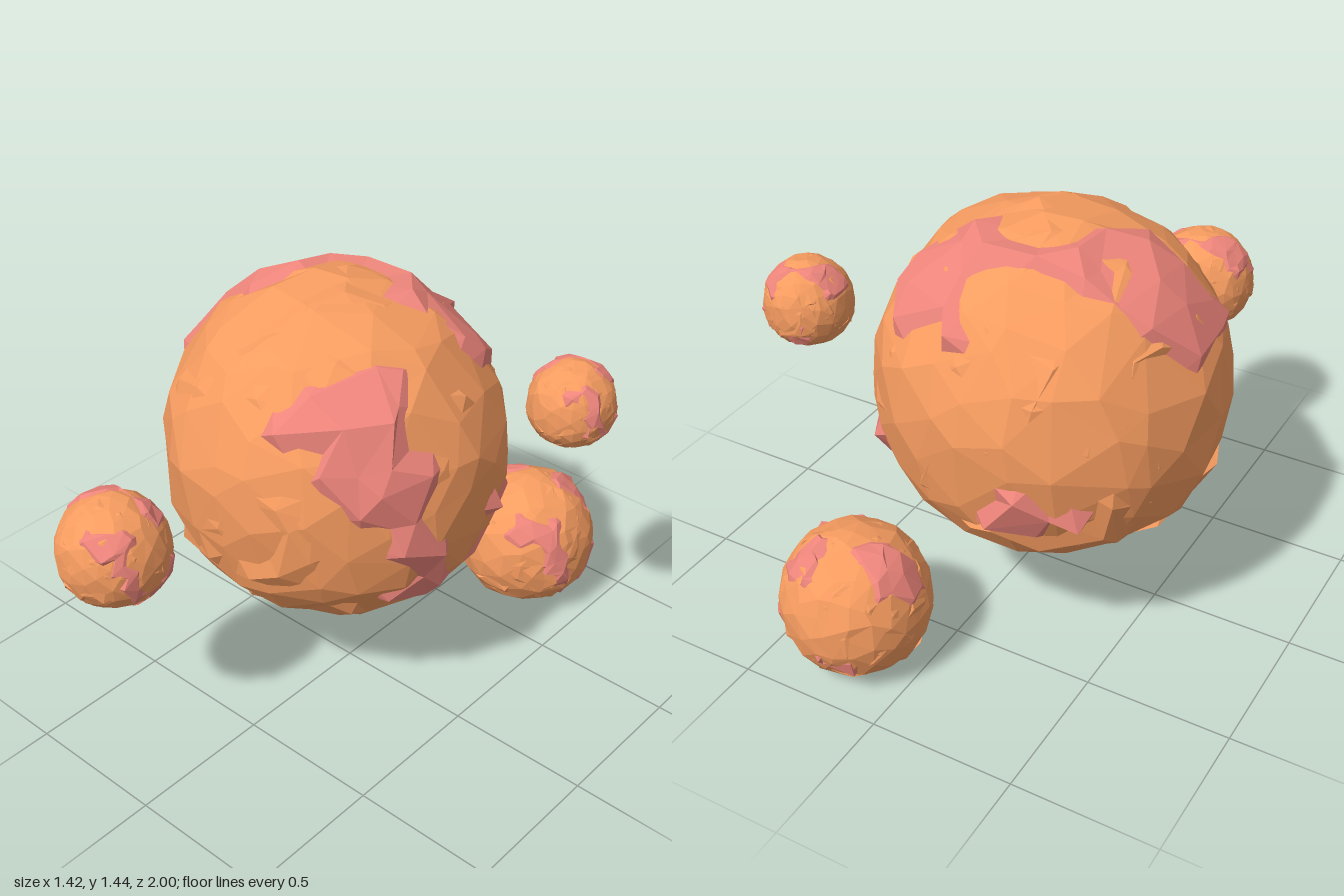
import * as THREE from 'three';

const ORANGE = new THREE.MeshStandardMaterial({ color: 0xf79c60, flatShading: true });
const PINK = new THREE.MeshStandardMaterial({ color: 0xee857b, flatShading: true });

// Pink outcrops: direction from the centre and angular reach
const PATCHES = [
  [-0.33, 0.45, -0.03, 0.36], [-0.5, 0.3, 0.03, 0.34], [-0.2, 0.5, -0.15, 0.28],
  [-0.42, 0.36, -0.12, 0.3], [0.17, 0.46, -0.24, 0.28], [0.29, 0.4, -0.28, 0.32],
  [0.18, 0.34, -0.42, 0.26], [0.24, 0.32, 0.38, 0.3], [0.4, 0.3, 0.22, 0.32],
  [0.46, 0.1, 0.27, 0.28], [0.49, -0.12, 0.2, 0.26], [0.48, -0.28, 0.12, 0.26],
  [0.45, -0.2, -0.28, 0.3], [0.39, -0.36, -0.16, 0.32], [0.28, -0.48, -0.1, 0.3],
  [0.12, -0.54, 0.1, 0.28], [-0.12, -0.53, 0.16, 0.27], [-0.18, -0.25, -0.48, 0.28],
].map(([x, y, z, reach]) => ({ dir: new THREE.Vector3(x, y, z).normalize(), reach }));

// Repeatable value in -1..1 for a direction, so shared corners move together
function hash(v, seed) {
  const q = (n) => Math.round(n * 1000) / 1000;
  const s = Math.sin(q(v.x) * 127.1 + q(v.y) * 311.7 + q(v.z) * 74.7 + seed * 53.3) * 43758.5;
  return (s - Math.floor(s)) * 2 - 1;
}

// Faceted ball whose vertices are shifted sideways and set to radius(direction)
function shell(detail, seed, slide, radius) {
  const geometry = new THREE.IcosahedronGeometry(1, detail);
  const p = geometry.attributes.position;
  const v = new THREE.Vector3();
  const d = new THREE.Vector3();
  for (let i = 0; i < p.count; i++) {
    v.fromBufferAttribute(p, i).normalize();
    d.set(hash(v, seed), hash(v, seed + 1), hash(v, seed + 2)).multiplyScalar(slide);
    const jitter = hash(v, seed + 3);
    d.add(v).normalize();
    d.multiplyScalar(radius(d, jitter));
    p.setXYZ(i, d.x, d.y, d.z);
  }
  geometry.computeVertexNormals();
  return geometry;
}

// Swelling below the middle, fading out at the equator and the lowest point
const swell = (d) => 0.055 * Math.max(0, -2 * d.y * Math.sqrt(1 - d.y * d.y));

// Orange stone, calm all round
const stoneRadius = (d, j) => 0.985 + swell(d) + j * 0.015;

// Second orange layer that breaks through the stone, mostly on the lower half
const crustRadius = (d, j) => 0.965 + swell(d) + j * (d.y < -0.15 ? 0.05 : 0.025);

// Pink shell: above the stone inside a patch, hidden below it elsewhere
function outcropRadius(d, j) {
  const inside = PATCHES.some(({ dir, reach }) => d.angleTo(dir) < reach);
  return inside ? 1.01 + swell(d) + j * 0.03 : 0.91;
}

// One rock: stone, broken crust and pink outcrops
function makeRock(name, center, radius, seed) {
  const rock = new THREE.Group();
  rock.name = name;
  const layers = [
    ['stone', shell(3, seed, 0.1, stoneRadius), ORANGE],
    ['crust', shell(4, seed + 11, 0.12, crustRadius), ORANGE],
    ['outcrops', shell(4, seed + 7, 0.1, outcropRadius), PINK],
  ];
  for (const [layerName, geometry, material] of layers) {
    const mesh = new THREE.Mesh(geometry, material);
    mesh.name = layerName;
    rock.add(mesh);
  }
  rock.scale.setScalar(radius);
  rock.position.set(...center);
  return rock;
}

export function createModel() {
  const model = new THREE.Group();
  model.name = 'rockCluster';
  model.add(
    makeRock('largeRock', [-0.127, 0.865, -0.07], 0.588, 1),
    makeRock('frontRock', [-0.262, 0.815, 0.812], 0.186, 2),
    makeRock('upperRock', [0.565, 1.105, -0.435], 0.146, 3),
    makeRock('lowerRock', [0.225, 0.255, -0.745], 0.253, 4),
  );
  return model;
}
